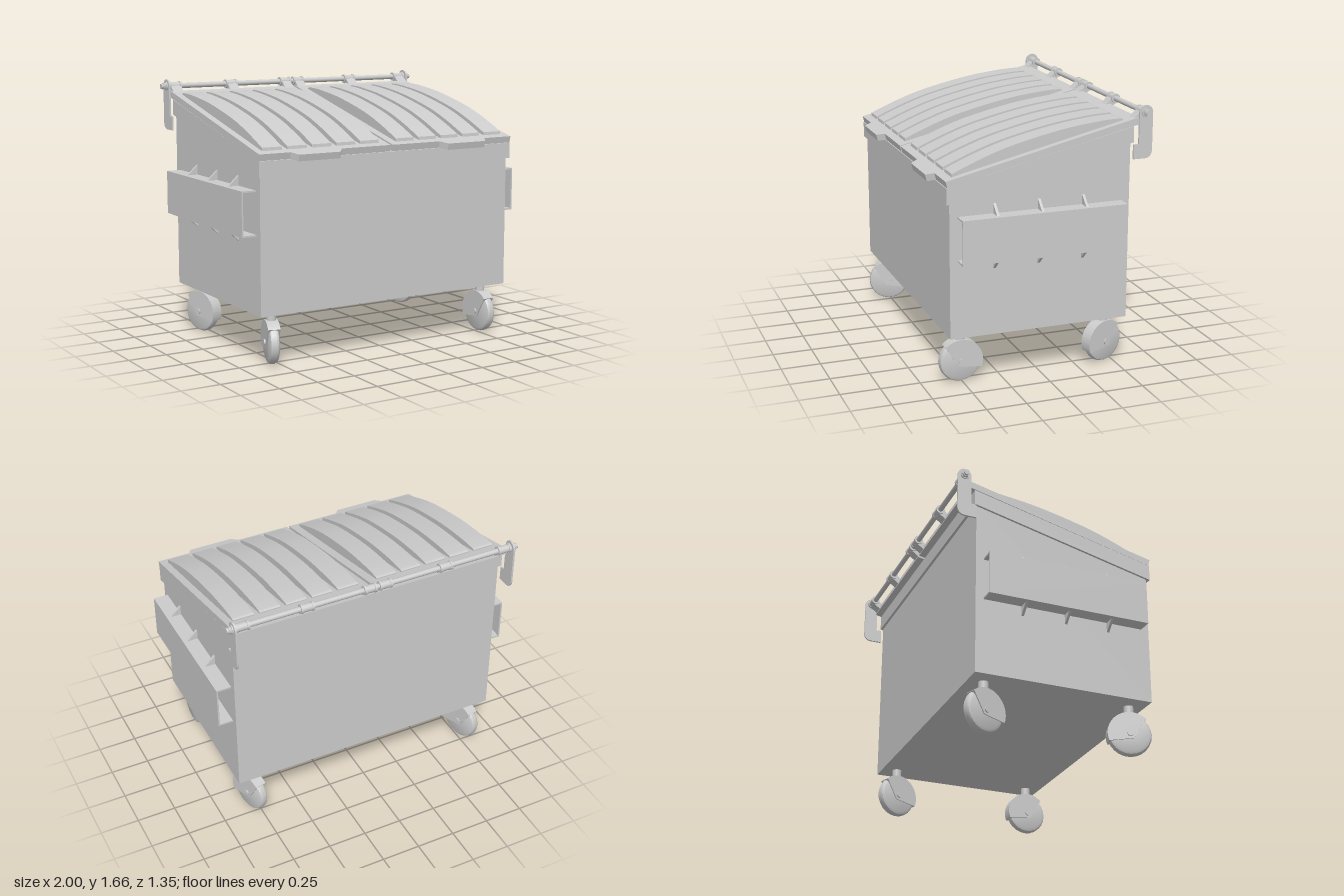
import * as THREE from 'three';
import { toCreasedNormals, mergeVertices } from 'three/addons/utils/BufferGeometryUtils.js';

const mat = new THREE.MeshStandardMaterial({ color: 0xcccccc, side: THREE.DoubleSide });
const SLOPE = Math.atan2(0.286, 1.215);

function add(parent, name, geometry, x = 0, y = 0, z = 0) {
  const mesh = new THREE.Mesh(geometry, mat);
  mesh.name = name;
  mesh.position.set(x, y, z);
  parent.add(mesh);
  return mesh;
}

const box = (x0, x1, y0, y1, z0, z1) =>
  new THREE.BoxGeometry(x1 - x0, y1 - y0, z1 - z0)
    .translate((x0 + x1) / 2, (y0 + y1) / 2, (z0 + z1) / 2);

const polygon = (points) => new THREE.Shape(points.map(([a, b]) => new THREE.Vector2(a, b)));

// Extrudes a side profile, drawn as (z, y), from x0 to x1
function sideExtrude(shape, x0, x1, curveSegments = 16) {
  const g = new THREE.ExtrudeGeometry(shape, { depth: x1 - x0, bevelEnabled: false, curveSegments });
  return toCreasedNormals(g.rotateY(-Math.PI / 2).translate(x1, 0, 0), 0.5);
}

const rodX = (radius, length, sides = 20) =>
  new THREE.CylinderGeometry(radius, radius, length, sides).rotateZ(Math.PI / 2);

// Container with a sloped top, and the wider sloped rim
function addBody(root) {
  add(root, 'body', sideExtrude(polygon([
    [0.605, 0.32], [0.605, 1.2], [-0.54, 1.47], [-0.54, 0.32],
  ]), -0.905, 0.905));
  add(root, 'rim', sideExtrude(polygon([
    [0.625, 1.155], [0.625, 1.255], [-0.555, 1.53], [-0.555, 1.432],
  ]), -0.92, 0.92));
}

// Half lid: sloped plate with a front grip tab, and five arched ribs
function addLid(root, s) {
  const lid = new THREE.Group();
  lid.name = s > 0 ? 'leftLid' : 'rightLid';
  root.add(lid);
  const h = 0.624;
  const plate = polygon([
    [0.009, h], [0.921, h], [0.921, -h], [0.71, -h], [0.68, -h - 0.05],
    [0.395, -h - 0.05], [0.36, -h], [0.009, -h],
  ].map(([x, y]) => [s * x, y]));
  const g = new THREE.ExtrudeGeometry(plate, { depth: 0.042, bevelEnabled: false });
  g.rotateX(-Math.PI / 2).translate(0, -0.042, 0).rotateX(SLOPE);
  add(lid, 'lidPlate', g, 0, 1.44, 0.0225);

  const arch = new THREE.SplineCurve([
    [0.578, 1.328], [0.4, 1.402], [0.2, 1.468], [-0.1, 1.535], [-0.35, 1.568], [-0.49, 1.575],
  ].map(([z, y]) => new THREE.Vector2(z, y))).getPoints(28);
  const profile = new THREE.Shape([
    new THREE.Vector2(0.582, 1.29), ...arch,
    new THREE.Vector2(-0.5, 1.57), new THREE.Vector2(-0.5, 1.54),
  ]);
  for (let i = 0; i < 5; i++) {
    const c = s * (0.13 + i * 0.1695);
    add(lid, 'lidRib', sideExtrude(profile, c - 0.067, c + 0.067));
  }

  // Hinge knuckles joining the lid to the rod
  for (const [x0, x1] of [[0.01, 0.092], [0.42, 0.505], [0.83, 0.918]]) {
    const c = s * (x0 + x1) / 2, w = x1 - x0;
    add(lid, 'hingeSleeve', rodX(0.025, w), c, 1.612, -0.627);
    for (const e of [-1, 1])
      add(lid, 'hingeCollar', rodX(0.029, 0.014), c + e * (w / 2 - 0.007), 1.612, -0.627);
    add(lid, 'hingeTongue', sideExtrude(polygon([
      [-0.56, 1.576], [-0.627, 1.637], [-0.64, 1.588], [-0.575, 1.54],
    ]), c - w / 2 + 0.008, c + w / 2 - 0.008));
  }
}

// Hooked plate carrying each end of the hinge rod
function addBracket(root, s) {
  const p = new THREE.Shape();
  p.moveTo(-0.55, 1.33);
  p.lineTo(-0.62, 1.33);
  p.quadraticCurveTo(-0.672, 1.33, -0.672, 1.385);
  p.lineTo(-0.672, 1.612);
  p.absarc(-0.628, 1.612, 0.044, Math.PI, 0, true);
  p.lineTo(-0.584, 1.42);
  p.lineTo(-0.55, 1.42);
  p.closePath();
  const c = s * 0.926;
  add(root, 'hingeBracket', sideExtrude(p, c - 0.006, c + 0.006));
  add(root, 'rodWasher', rodX(0.028, 0.008), s * 0.936, 1.612, -0.627);
  add(root, 'rodNut', rodX(0.024, 0.016, 6), s * 0.948, 1.612, -0.627);
}

// Open-ended lifting channel with triangular gussets
function addPocket(root, s) {
  const g = new THREE.Group();
  g.name = s > 0 ? 'leftForkPocket' : 'rightForkPocket';
  root.add(g);
  const slab = (a, b, y0, y1) =>
    box(Math.min(s * a, s * b), Math.max(s * a, s * b), y0, y1, -0.49, 0.555);
  add(g, 'pocketOuterPlate', slab(0.99, 1.0, 0.8, 1.076));
  add(g, 'pocketTopPlate', slab(0.9, 0.99, 1.066, 1.076));
  add(g, 'pocketBottomPlate', slab(0.9, 0.99, 0.8, 0.81));
  for (const z of [0.326, 0.045, -0.239])
    for (const [y, d] of [[1.076, 1], [0.8, -1]]) {
      const tri = polygon([[s * 0.9, y], [s * 0.972, y], [s * 0.9, y + d * 0.067]]);
      add(g, 'pocketGusset',
        new THREE.ExtrudeGeometry(tri, { depth: 0.016, bevelEnabled: false }), 0, 0, z - 0.008);
    }
}

// Swivel caster; yaw turns it about its stem
function addCaster(root, x, z, yaw) {
  const c = new THREE.Group();
  c.name = 'caster';
  c.position.set(x, 0, z);
  c.rotation.y = yaw;
  root.add(c);
  add(c, 'casterStem', new THREE.CylinderGeometry(0.03, 0.03, 0.08, 20), 0, 0.285, 0);

  const tread = [[0, -0.031], [0.112, -0.031], [0.127, -0.024], [0.134, -0.01],
    [0.134, 0.01], [0.127, 0.024], [0.112, 0.031], [0, 0.031]]
    .map(([r, h]) => new THREE.Vector2(r, h));
  const wheel = toCreasedNormals(new THREE.LatheGeometry(tread, 24).rotateZ(Math.PI / 2), 0.6);
  add(c, 'wheel', wheel, 0, 0.134, 0);

  // Fork hood wrapping the top and trailing side of the wheel
  const hood = new THREE.Shape();
  hood.moveTo(0.02, -0.03);
  hood.lineTo(0.098, 0.098);
  hood.absarc(0, 0, 0.1385, Math.PI / 4, Math.PI + 0.36, false);
  hood.closePath();
  add(c, 'casterFork', sideExtrude(hood, -0.038, 0.038, 24), 0, 0.134, 0);
  add(c, 'axle', rodX(0.019, 0.094, 12), 0, 0.134, 0);
}

export function createModel() {
  const root = new THREE.Group();
  root.name = 'wheeledWasteContainer';
  addBody(root);
  for (const s of [1, -1]) {
    addLid(root, s);
    addBracket(root, s);
    addPocket(root, s);
  }
  add(root, 'hingeRod', rodX(0.017, 1.94), 0, 1.612, -0.627);

  addCaster(root, 0.785, 0.508, 0);
  addCaster(root, -0.785, 0.508, -0.3);
  addCaster(root, 0.785, -0.44, Math.PI + 0.3);
  addCaster(root, -0.785, -0.44, Math.PI + 0.3);
  return root;
}
